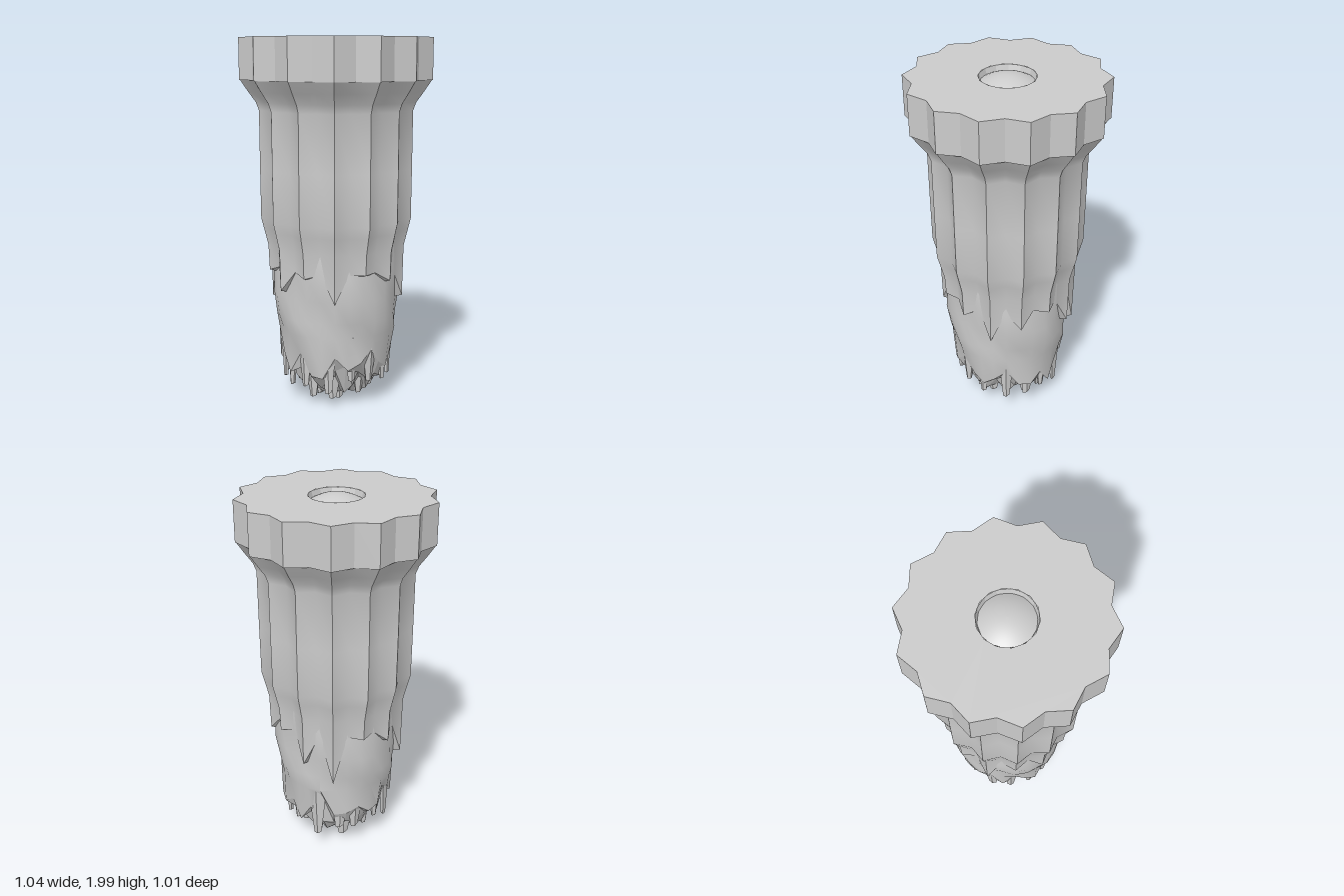
import * as THREE from 'three';
import { toCreasedNormals } from 'three/addons/utils/BufferGeometryUtils.js';

const POINTS = 14, SEG = POINTS * 2;

function seeded(seed) {
  return () => {
    seed = (seed * 16807) % 2147483647;
    return seed / 2147483647;
  };
}

// Skin a stack of closed rings (listed top to bottom, angles running x to z).
function skin(rings) {
  const n = rings[0].length, pos = [], idx = [];
  rings.forEach(r => r.forEach(p => pos.push(...p)));
  for (let i = 0; i < rings.length - 1; i++) {
    for (let j = 0; j < n; j++) {
      const a = i * n + j, b = i * n + (j + 1) % n;
      idx.push(a, b, a + n, b, b + n, a + n);
    }
  }
  const g = new THREE.BufferGeometry();
  g.setAttribute('position', new THREE.Float32BufferAttribute(pos, 3));
  g.setIndex(idx);
  return g;
}

// Ring whose radius and height depend on the step around it.
function ring(n, radius, height) {
  return Array.from({ length: n }, (_, j) => {
    const a = (j / n) * Math.PI * 2, r = radius(j);
    return [r * Math.cos(a), height(j), r * Math.sin(a)];
  });
}

const star = (outer, inner, y) => ring(SEG, j => (j % 2 ? inner : outer), () => y);

export function createModel() {
  const model = new THREE.Group();
  const grey = new THREE.MeshStandardMaterial({ color: 0xcccccc, side: THREE.DoubleSide });
  const rock = new THREE.MeshStandardMaterial({ color: 0xcccccc, side: THREE.DoubleSide, flatShading: true });
  const add = (name, geometry, material = grey, parent = model) => {
    const m = new THREE.Mesh(geometry, material);
    m.name = name;
    parent.add(m);
    return m;
  };

  // Star-shaped cap wall
  add('capWall', toCreasedNormals(skin([star(0.52, 0.472, 1.99), star(0.52, 0.472, 1.77)]), 0.4));

  // Cap top with a round hole
  const outline = star(0.52, 0.472, 0).map(p => new THREE.Vector2(p[0], -p[2]));
  const top = new THREE.Shape(outline);
  top.holes.push(new THREE.Path().absarc(0, 0, 0.147, 0, Math.PI * 2, true));
  add('capTop', new THREE.ShapeGeometry(top, 7).rotateX(-Math.PI / 2).translate(0, 1.99, 0));

  // Bevelled socket and the shallow dome inside it
  const socket = new THREE.LatheGeometry(
    [[0.134, 1.945], [0.147, 1.99]].map(p => new THREE.Vector2(...p)), 14);
  add('socketWall', toCreasedNormals(socket, 0.3));
  const dome = [];
  for (let i = 0; i <= 8; i++) {
    const r = 0.137 * (1 - i / 8);
    dome.push(new THREE.Vector2(r, 2 - 0.04 * (r / 0.137) ** 2));
  }
  add('socketDome', new THREE.LatheGeometry(dome, 28));

  // Fluted shaft flaring into the cap, its lower edge broken off unevenly
  const ridgeEnds = [0.6, 0.72, 0.77, 0.62, 0.75, 0.66, 0.74, 0.55, 0.7, 0.76, 0.5, 0.6, 0.75, 0.68];
  const endY = j => (j % 2 ? 0.77 : ridgeEnds[j / 2]);
  const shaft = [
    star(0.515, 0.468, 1.77), star(0.475, 0.43, 1.71), star(0.435, 0.392, 1.655),
    star(0.418, 0.375, 1.61), star(0.417, 0.374, 1.3), star(0.415, 0.373, 1.03),
    star(0.4, 0.36, 0.97), star(0.378, 0.343, 0.88),
    ring(SEG, j => (j % 2 ? 0.337 : 0.372), endY),
    ring(SEG, () => 0.3, j => endY(j) - 0.02),
  ];
  add('shaft', toCreasedNormals(skin(shaft), 0.8));

  // Worn core below the shaft, smooth at first
  const N = 28, rand = seeded(71);
  const wave = (j, k) => 0.008 * Math.sin(j * 0.9 + k * 1.7) + 0.005 * Math.sin(j * 2.02 - k);
  const tips = Array.from({ length: N }, (_, j) => 0.16 + 0.14 * rand() + (j % 3 === 0 ? 0.1 : 0));
  const core = [[0.335, 0.9], [0.342, 0.75], [0.342, 0.62], [0.333, 0.5], [0.325, 0.42]]
    .map(([r, y], k) => ring(N, j => r + wave(j, k), () => y));
  core.push(ring(N, j => 0.308 + wave(j, 6), j => tips[j]));
  add('core', toCreasedNormals(skin(core), 0.7));

  // Broken underside, stepping in towards the middle
  const under = [core[core.length - 1]];
  [[0.265, 0.18, 0.12], [0.2, 0.11, 0.1], [0.12, 0.07, 0.09], [0.05, 0.06, 0.05], [0, 0.07, 0]]
    .forEach(([r, y, d]) => under.push(ring(N, () => r * (0.93 + 0.14 * rand()), () => y + d * (rand() - 0.4))));
  add('brokenUnderside', skin(under), rock);

  // Splinters: tapered blades hanging from the broken end
  const splinters = new THREE.Group();
  splinters.name = 'splinters';
  model.add(splinters);
  const blade = (angle, r, yTop, yTip, width, depth, lean) => {
    const h = yTop - yTip;
    const g = new THREE.CylinderGeometry(1, 0.38, h, 5, 1);
    g.scale(width, 1, depth);
    const p = g.attributes.position;
    for (let i = 0; i < p.count; i++) {
      if (p.getY(i) < 0) {
        p.setX(p.getX(i) + lean);
        p.setZ(p.getZ(i) - 0.03);
        p.setY(i, p.getY(i) + Math.max(0, p.getX(i) * 0.6));
      }
    }
    g.translate(0, (yTop + yTip) / 2, r);
    g.rotateY(angle);
    add('splinter', g, rock, splinters);
  };
  for (let i = 0; i < 15; i++) {
    const a = (i / 15) * Math.PI * 2 + 0.15 * rand();
    // longer towards the front right side of the rim
    blade(a, 0.285, 0.38 + 0.16 * rand(), 0.09 + 0.09 * rand(),
      0.045 + 0.02 * rand(), 0.032, 0.03 * (rand() - 0.5));
  }
  for (let i = 0; i < 9; i++) {
    const a = (i / 9) * Math.PI * 2 + 0.3 * rand();
    blade(a, 0.2, 0.25, 0.035 + 0.05 * rand(), 0.05 + 0.02 * rand(), 0.035, 0.04 * (rand() - 0.5));
  }
  for (let i = 0; i < 5; i++) {
    blade((i / 5) * Math.PI * 2 + 0.4, 0.1, 0.2, 0.005 + 0.03 * rand(), 0.05, 0.04, 0.03 * (rand() - 0.5));
  }

  return model;
}
